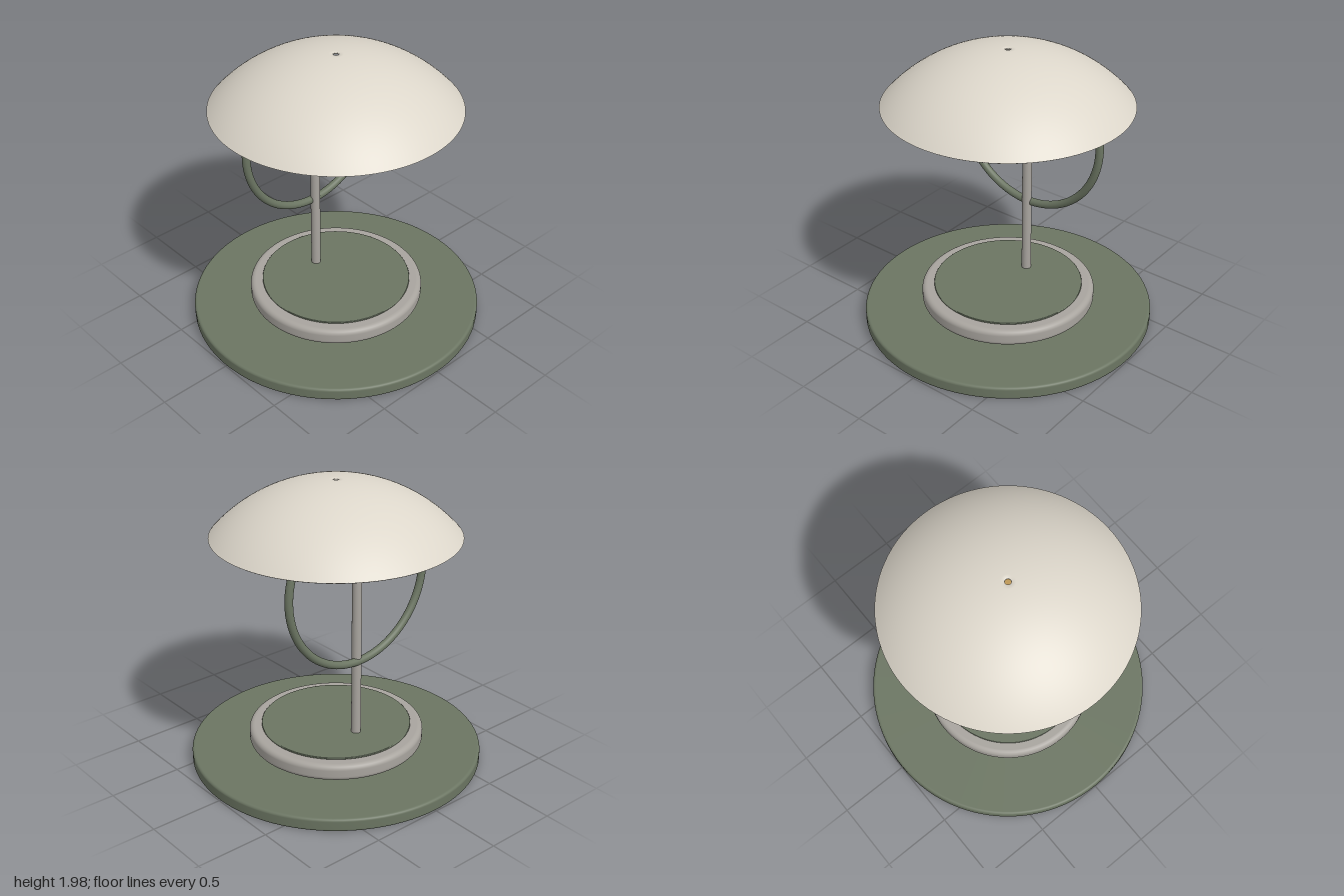
import * as THREE from 'three';

const paint = (name, color) => {
  const m = new THREE.MeshStandardMaterial({ color });
  m.name = name;
  return m;
};

export function createModel() {
  const green = paint('sage green', 0x6b7562);
  const grey = paint('warm grey', 0xa8a49e);
  const cream = paint('cream', 0xdcd6ca);
  const gold = paint('gold', 0xc09a58);
  const model = new THREE.Group();
  model.name = 'tableLamp';

  const add = (name, geometry, material, x = 0, y = 0, z = 0) => {
    const mesh = new THREE.Mesh(geometry, material);
    mesh.name = name;
    mesh.position.set(x, y, z);
    model.add(mesh);
    return mesh;
  };

  // Round disc with a softened rim, standing on y = 0
  const disc = (radius, height, bevel) => {
    const pts = [new THREE.Vector2(0, 0), new THREE.Vector2(radius - bevel - 0.002, 0)];
    for (const [cy, start] of [[bevel, -Math.PI / 2], [height - bevel, 0]]) {
      for (let i = 0; i <= 6; i++) {
        const a = start + (i / 6) * Math.PI / 2;
        pts.push(new THREE.Vector2(radius - bevel + bevel * Math.cos(a), cy + bevel * Math.sin(a)));
      }
    }
    pts.push(new THREE.Vector2(radius - bevel - 0.002, height), new THREE.Vector2(0, height));
    return new THREE.LatheGeometry(pts, 96);
  };

  // Base: wide plate, raised puck and thin inlay
  add('basePlate', disc(1, 0.09, 0.018), green);
  add('basePuck', disc(0.6, 0.115, 0.035), grey, 0, 0.115, 0);
  add('baseInlay', disc(0.515, 0.014, 0.005), green, 0, 0.23, 0);

  // Stem behind the centre, and the upright ring beside it
  add('stem', new THREE.CylinderGeometry(0.033, 0.033, 1.69, 32), grey, 0, 1.085, -0.21);
  add('ring', new THREE.TorusGeometry(0.57, 0.027, 20, 96), green, 0, 1.352, -0.225);

  // Flattened light body and the thin diffuser around it
  add('lightBody', new THREE.SphereGeometry(0.42, 64, 32), gold, 0, 1.54, 0).scale.y = 0.18;
  add('diffuser', disc(0.645, 0.018, 0.007), grey, 0, 1.552, 0);

  // Domed shell with a small hole at the crown: outer arc up, inner arc back down
  const R = 1.105, top = 1.985, wall = 0.012;
  const arc = (radius, rStart, rEnd) => {
    const a = Math.asin(rStart / radius), b = Math.asin(rEnd / radius);
    return Array.from({ length: 33 }, (_, i) => {
      const t = a + (b - a) * i / 32;
      return new THREE.Vector2(radius * Math.sin(t), top - R + radius * Math.cos(t));
    });
  };
  const outer = arc(R, 0.825, 0.02);
  const inner = arc(R - wall, 0.02, 0.815);
  add('shade', new THREE.LatheGeometry([...outer, ...inner, outer[0].clone()], 96), cream);

  return model;
}
